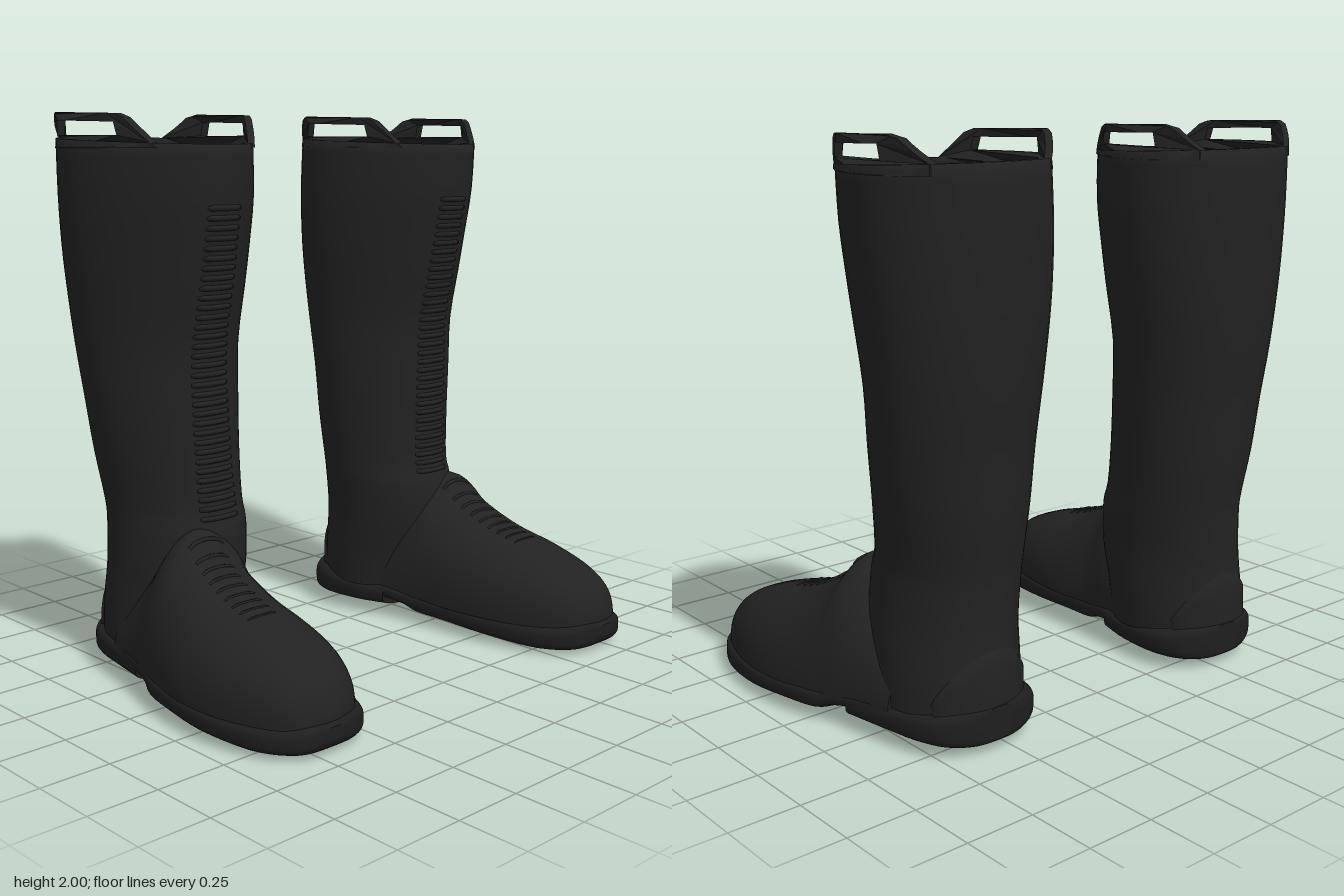
import * as THREE from 'three';

const material = (name, color, side = THREE.FrontSide) => {
  const m = new THREE.MeshStandardMaterial({ color, side });
  m.name = name;
  return m;
};
const rubber = material('black rubber', 0x222222);
const soleRubber = material('dark sole rubber', 0x1e1e1e);
const fabric = material('grey lining', 0x6c6d66, THREE.DoubleSide);

const lerp = THREE.MathUtils.lerp;
const SIDES = 48;

// Shaft sections: y, inner x, outer x, back z, front z, egg factor, rim tilt
const SHAFT = [
  [0.10, 0.325, 0.80, -0.610, -0.10, 0.00, 0],
  [0.25, 0.320, 0.80, -0.606, -0.08, 0.00, 0],
  [0.40, 0.320, 0.79, -0.598, -0.04, 0.00, 0],
  [0.55, 0.310, 0.783, -0.597, -0.045, 0.03, 0],
  [0.63, 0.308, 0.783, -0.603, -0.068, 0.05, 0],
  [0.80, 0.298, 0.808, -0.625, -0.080, 0.08, 0],
  [1.00, 0.285, 0.835, -0.640, -0.086, 0.10, 0],
  [1.20, 0.270, 0.857, -0.663, -0.083, 0.13, 0],
  [1.40, 0.248, 0.880, -0.678, -0.040, 0.17, 0],
  [1.55, 0.235, 0.896, -0.683, -0.010, 0.19, 0],
  [1.72, 0.230, 0.907, -0.686, 0.022, 0.20, 0],
  [1.905, 0.238, 0.911, -0.683, 0.030, 0.20, 0.013],
];
// Foot sections: z, inner x, outer x, top y, squareness
const FOOT = [
  [-0.35, 0.335, 0.815, 0.34, 2],
  [-0.20, 0.370, 0.845, 0.46, 2],
  [-0.11, 0.385, 0.870, 0.56, 2],
  [-0.05, 0.395, 0.885, 0.565, 2],
  [0.02, 0.400, 0.905, 0.49, 2],
  [0.17, 0.400, 0.935, 0.405, 2.1],
  [0.33, 0.420, 0.937, 0.355, 2.3],
  [0.48, 0.465, 0.905, 0.310, 2.4],
  [0.59, 0.525, 0.860, 0.262, 2.3],
  [0.645, 0.590, 0.805, 0.210, 2.1],
  [0.672, 0.670, 0.730, 0.140, 2],
];
// Sole and heel sections: z, inner x, outer x, top y, bottom y
const SOLE = [
  [-0.35, 0.335, 0.815, 0.150, 0.080],
  [-0.17, 0.360, 0.857, 0.135, 0.070],
  [-0.08, 0.382, 0.880, 0.130, 0.050],
  [-0.02, 0.390, 0.905, 0.127, 0.028],
  [0.10, 0.395, 0.932, 0.125, 0.025],
  [0.30, 0.410, 0.950, 0.120, 0.014],
  [0.50, 0.455, 0.917, 0.115, 0.001],
  [0.62, 0.515, 0.862, 0.112, 0.008],
  [0.67, 0.585, 0.805, 0.110, 0.025],
  [0.69, 0.670, 0.735, 0.100, 0.055],
];
const HEEL = [
  [-0.62, 0.500, 0.610, 0.160, 0.045],
  [-0.60, 0.420, 0.690, 0.165, 0.032],
  [-0.55, 0.350, 0.760, 0.165, 0.028],
  [-0.45, 0.315, 0.803, 0.160, 0.028],
  [-0.30, 0.322, 0.832, 0.145, 0.033],
  [-0.165, 0.358, 0.856, 0.135, 0.038],
];

// Smooth interpolation through table rows; u runs from 0 to rows.length - 1
function sample(rows, u) {
  const n = rows.length - 1, i = Math.min(Math.floor(u), n - 1), f = u - i;
  const [a, b, c, d] = [i - 1, i, i + 1, i + 2].map((j) => rows[Math.max(0, Math.min(n, j))]);
  return b.map((p, k) => {
    const m0 = (c[k] - a[k]) / 2, m1 = (d[k] - p) / 2;
    return p + f * (m0 + f * (3 * (c[k] - p) - 2 * m0 - m1 + f * (2 * (p - c[k]) + m0 + m1)));
  });
}
function sampleAt(rows, key) {
  let lo = 0, hi = rows.length - 1;
  for (let i = 0; i < 30; i++) {
    const mid = (lo + hi) / 2;
    if (sample(rows, mid)[0] < key) lo = mid; else hi = mid;
  }
  return sample(rows, lo);
}
const refine = (rows, step) =>
  Array.from({ length: (rows.length - 1) * step + 1 }, (_, i) => sample(rows, i / step));
const ring = (fn, n = SIDES) => Array.from({ length: n }, (_, i) => fn((i / n) * Math.PI * 2));

// Point on an egg-shaped shaft section; t = PI / 2 is the shin
function eggPoint([y, xi, xo, zb, zf, k, tilt], t, off = 0) {
  const s = Math.sin(t), hw = (xo - xi) / 2 / (1 + k * k / 2) + off;
  return new THREE.Vector3((xi + xo) / 2 + hw * Math.cos(t) * (1 - k * s),
    y - tilt * s, (zb + zf) / 2 + ((zf - zb) / 2 + off) * s);
}
const power = (v, n) => Math.sign(v) * Math.abs(v) ** (2 / n);
function footPoint([z, xi, xo, top, n], a, off = 0) {
  const s = power(Math.sin(a), n), base = 0.1;
  return new THREE.Vector3((xi + xo) / 2 + (xo - xi) / 2 * power(Math.cos(a), n),
    base + s * (s > 0 ? top - base + off : 0.02), z);
}
const solePoint = ([z, xi, xo, top, bot], a) => new THREE.Vector3(
  (xi + xo) / 2 + (xo - xi) / 2 * power(Math.cos(a), 3.5),
  (top + bot) / 2 + (top - bot) / 2 * power(Math.sin(a), 3.5), z);

// Skin between rings of points, turned so that faces look outward (or inward)
function loft(rings, { mirror, closed = true, caps = [], inward = false }) {
  const n = rings[0].length, pts = rings.flat().map((p) => p.clone()), idx = [];
  for (let j = 0; j < rings.length - 1; j++) {
    for (let i = 0; i < (closed ? n : n - 1); i++) {
      const a = j * n + i, b = j * n + (i + 1) % n;
      idx.push(a, b, a + n, b, b + n, a + n);
    }
  }
  for (const c of caps) {
    const source = rings[c ? rings.length - 1 : 0], start = pts.length;
    const mid = source.reduce((s, p) => s.add(p), new THREE.Vector3()).divideScalar(n);
    pts.push(...source.map((p) => p.clone()), mid);
    for (let i = 0; i < n; i++) {
      const a = start + i, b = start + (i + 1) % n;
      idx.push(...(c ? [a, b, start + n] : [b, a, start + n]));
    }
  }
  pts.forEach((p) => { p.x *= mirror; });
  const centre = pts.reduce((s, p) => s.add(p), new THREE.Vector3()).divideScalar(pts.length);
  let volume = 0;
  for (let i = 0; i < idx.length; i += 3) {
    const [a, b, c] = [0, 1, 2].map((k) => pts[idx[i + k]].clone().sub(centre));
    volume += a.dot(b.cross(c));
  }
  if ((volume < 0) !== inward) idx.reverse();
  const g = new THREE.BufferGeometry().setFromPoints(pts);
  g.setIndex(idx);
  g.computeVertexNormals();
  return g;
}

// Pull handle with a slot, bent to follow the rim on one side of the shaft
function handle(mirror, outer) {
  const dense = (pts) => pts.flatMap(([x, y], i) => {
    const [x2, y2] = pts[(i + 1) % pts.length], n = Math.ceil(Math.hypot(x2 - x, y2 - y) / 0.03);
    return Array.from({ length: n }, (_, k) => new THREE.Vector2(lerp(x, x2, k / n), lerp(y, y2, k / n)));
  });
  const shape = new THREE.Shape(dense([[-0.61, 1.88], [-0.08, 1.88], [-0.11, 1.915], [-0.17, 1.98],
    [-0.20, 1.993], [-0.50, 2.0], [-0.54, 1.988], [-0.61, 1.915]]));
  shape.holes.push(new THREE.Path(dense([[-0.19, 1.922], [-0.20, 1.965], [-0.475, 1.972], [-0.485, 1.922]])));
  const depth = 0.032, g = new THREE.ExtrudeGeometry(shape, { depth, bevelEnabled: false });
  const rim = SHAFT[SHAFT.length - 1], zc = (rim[3] + rim[4]) / 2, rz = (rim[4] - rim[3]) / 2;
  const p = g.attributes.position;
  for (let i = 0; i < p.count; i++) {
    const z = p.getX(i), t = Math.asin((z - zc) / rz);
    const x = eggPoint(rim, outer ? t : Math.PI - t, -0.014).x * mirror;
    p.setXYZ(i, x - (p.getZ(i) - depth / 2), p.getY(i), z);
  }
  g.computeVertexNormals();
  return g;
}

function createBoot(mirror) {
  const boot = new THREE.Group();
  const add = (name, geometry, mat = rubber) => {
    const mesh = new THREE.Mesh(geometry, mat);
    mesh.name = name;
    boot.add(mesh);
  };

  // Shaft with a rolled rim
  const rim = SHAFT[SHAFT.length - 1];
  const shaft = refine(SHAFT, 3).map((r) => ring((t) => eggPoint(r, t)));
  const rimIn = ring((t) => eggPoint(rim, t, -0.028));
  const rimLow = rimIn.map((p) => p.clone().setY(p.y - 0.02));
  add('shaft', loft([...shaft, rimIn, rimLow], { mirror }));

  // Lining and its floor
  const floor = ring((t) => eggPoint([1.25, 0.32, 0.786, -0.65, -0.088, 0.2, 0], t));
  const lining = [0, 0.25, 0.5, 0.75, 1].map((f) => rimLow.map((p, i) => p.clone().lerp(floor[i], f)));
  add('lining', loft(lining, { mirror, caps: [1], inward: true }), fabric);

  // Foot, sole and heel
  add('foot', loft(refine(FOOT, 4).map((r) => ring((a) => footPoint(r, a))), { mirror, caps: [0, 1] }));
  for (const [name, rows] of [['sole', SOLE], ['heel', HEEL]]) {
    add(name, loft(refine(rows, 4).map((r) => ring((a) => solePoint(r, a))), { mirror, caps: [0, 1] }), soleRubber);
  }

  // Raised heel counter
  const counter = Array.from({ length: 8 }, (_, j) => Array.from({ length: 25 }, (_, i) => {
    const s = i / 12 - 1, y = lerp(0.12, 0.36 - 0.18 * s * s, j / 7);
    const edge = j === 7 || i === 0 || i === 24;
    return eggPoint(sampleAt(SHAFT, y), -Math.PI / 2 + s * 0.95, edge ? -0.004 : 0.01);
  }));
  add('heelCounter', loft(counter, { mirror, closed: false }));

  // Ribs up the shin and over the instep, with ends sunk into the surface
  const rib = (name, pointAt, spread, radius) => {
    const pts = [-1, -0.85, -0.4, 0, 0.4, 0.85, 1].map((s) => {
      const p = pointAt(Math.PI / 2 - s * spread, Math.abs(s) === 1 ? -0.016 : 0);
      p.x *= mirror;
      return p;
    });
    add(name, new THREE.TubeGeometry(new THREE.CatmullRomCurve3(pts), 10, radius, 6));
  };
  for (let i = 0; i < 33; i++) {
    const row = sampleAt(SHAFT, 0.6 + i * 0.0338);
    rib('shinRib', (t, off) => eggPoint(row, t, off), 0.087 / ((row[2] - row[1]) / 2), 0.01);
  }
  for (let i = 0; i < 9; i++) {
    const row = sampleAt(FOOT, -0.03 + i * 0.042);
    rib('instepRib', (a, off) => footPoint(row, a, off), 0.3 - i * 0.012, 0.007 - i * 0.0004);
  }

  // Pull handles
  add('innerHandle', handle(mirror, false));
  add('outerHandle', handle(mirror, true));
  return boot;
}

export function createModel() {
  const model = new THREE.Group();
  model.name = 'boots';
  for (const [name, mirror] of [['leftBoot', 1], ['rightBoot', -1]]) {
    const boot = createBoot(mirror);
    boot.name = name;
    model.add(boot);
  }
  return model;
}
